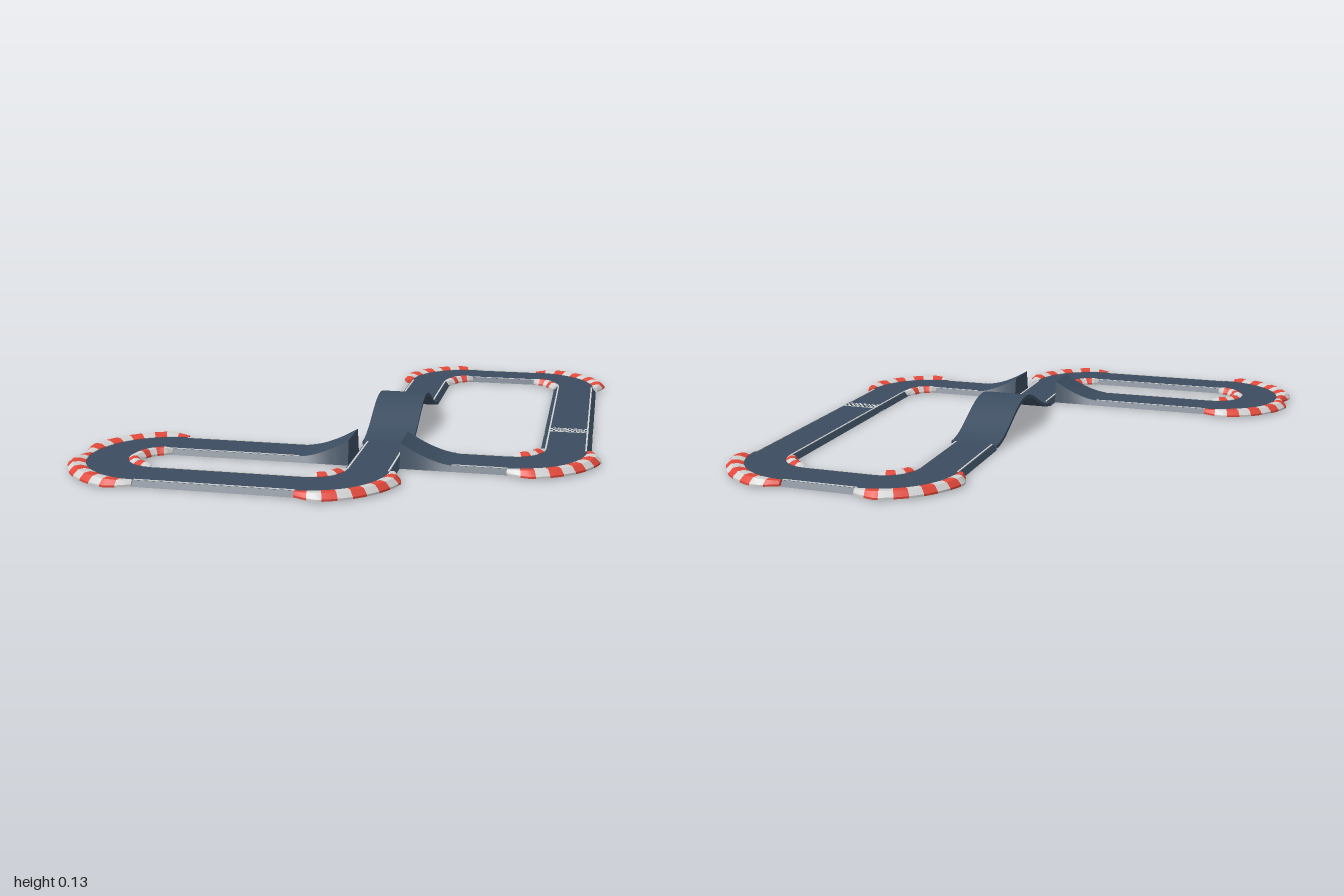
import * as THREE from 'three';
import { mergeGeometries, toCreasedNormals } from 'three/addons/utils/BufferGeometryUtils.js';

const R = 0.1875; // centre-line radius of every corner

function material(name, color) {
  const m = new THREE.MeshStandardMaterial({ color });
  m.name = name;
  return m;
}

// Point on a straight: position plus the direction to the driver's right
function straightPath(x0, z0, x1, z1) {
  const len = Math.hypot(x1 - x0, z1 - z0);
  const dx = (x1 - x0) / len, dz = (z1 - z0) / len;
  return t => ({ x: x0 + (x1 - x0) * t, z: z0 + (z1 - z0) * t, rx: -dz, rz: dx });
}

// Quarter turn; turn = 1 for a right-hander, -1 for a left-hander
function cornerPath(cx, cz, start, turn) {
  return t => {
    const a = start + turn * t * Math.PI / 2;
    const c = Math.cos(a), s = Math.sin(a);
    return { x: cx + R * c, z: cz + R * s, rx: -turn * c, rz: -turn * s };
  };
}

// Sweep a closed profile (points [offset, y], clockwise seen from behind)
function sweep(path, profile, steps, t0 = 0, t1 = 1) {
  const rings = [];
  for (let i = 0; i <= steps; i++) {
    const t = t0 + (t1 - t0) * i / steps, p = path(t);
    rings.push(profile(t).map(([o, y]) => [p.x + p.rx * o, y, p.z + p.rz * o]));
  }
  const pos = [], n = rings[0].length, last = rings[steps];
  const tri = (a, b, c) => pos.push(...a, ...b, ...c);
  for (let i = 0; i < steps; i++) {
    for (let j = 0; j < n; j++) {
      const k = (j + 1) % n;
      tri(rings[i][j], rings[i][k], rings[i + 1][k]);
      tri(rings[i][j], rings[i + 1][k], rings[i + 1][j]);
    }
  }
  for (let j = 1; j < n - 1; j++) {
    tri(rings[0][0], rings[0][j + 1], rings[0][j]);
    tri(last[0], last[j], last[j + 1]);
  }
  const g = new THREE.BufferGeometry();
  g.setAttribute('position', new THREE.Float32BufferAttribute(pos, 3));
  return toCreasedNormals(g, 0.5);
}

const slab = y => [[-0.092, 0.002], [-0.077, y], [0.077, y], [0.092, 0.002]];

export function createModel() {
  const model = new THREE.Group();
  const asphalt = material('asphalt', 0x3b4d60);
  const red = material('kerb red', 0xe2483a);
  const white = material('kerb white', 0xd2d2d2);
  const green = material('grass green', 0x86b04c);
  const add = (name, geo, mat) => {
    const mesh = new THREE.Mesh(geo, mat);
    mesh.name = name;
    model.add(mesh);
    return mesh;
  };

  // Flat straights with thin edge lines
  const straights = [
    [0.143, 0.6875, 0.143, 0.34], [0.143, -0.34, 0.143, -0.69],
    [0.33, -0.8775, 0.6075, -0.8775], [0.795, -0.69, 0.795, 0.3125],
    [0.6075, 0.5, 0.415, 0.5], [-0.13, 0.5, -0.60, 0.5],
    [-0.60, 0.875, -0.0445, 0.875],
  ];
  const lines = [];
  for (const s of straights) {
    const path = straightPath(...s);
    add('straightRoad', sweep(path, () => slab(0.021), 1), asphalt);
    for (const o of [-0.072, 0.072]) {
      lines.push(sweep(path, () => [
        [o - 0.003, 0.019], [o - 0.003, 0.023], [o + 0.003, 0.023], [o + 0.003, 0.019],
      ], 1));
    }
  }
  add('edgeLines', mergeGeometries(lines), white);

  // Humped bridge, a thin arched deck
  add('humpBridge', sweep(straightPath(0.143, 0.34, 0.143, -0.34), t => {
    const y = 0.021 + 0.107 * (0.5 - 0.5 * Math.cos(t * Math.PI * 2));
    return [[-0.092, y - 0.014], [-0.092, y], [0.092, y], [0.092, y - 0.014]];
  }, 32), asphalt);

  // Jump ramps facing each other across the road
  const ramp = s => slab(0.021 + 0.07 * Math.pow(s, 1.6));
  add('takeoffRamp', sweep(straightPath(0.415, 0.5, 0.235, 0.5), t => ramp(t), 12), asphalt);
  add('landingRamp', sweep(straightPath(0.051, 0.5, -0.13, 0.5), t => ramp(1 - t), 12), asphalt);

  // Corners with striped kerbs on both sides
  const corners = [
    [0.3305, -0.69, Math.PI, 1], [0.6075, -0.69, -Math.PI / 2, 1], [0.6075, 0.3125, 0, 1],
    [-0.60, 0.6875, -Math.PI / 2, -1], [-0.60, 0.6875, -Math.PI, -1],
    [-0.0445, 0.6875, Math.PI / 2, -1],
  ];
  const kerb = (side, inner, width) => t => {
    const f = Math.min(1, t / 0.16, (1 - t) / 0.16);
    const w = 0.022 + (width - 0.022) * f, top = 0.024 + 0.007 * f;
    const pts = [
      [inner, 0.006], [inner, 0.023], [inner + w * 0.35, top],
      [inner + w * 0.7, top - 0.001], [inner + w, 0.013], [inner + w, 0.006],
    ];
    return side > 0 ? pts : pts.map(([o, y]) => [-o, y]).reverse();
  };
  for (const c of corners) {
    const path = cornerPath(...c), turn = c[3];
    add('cornerRoad', sweep(path, () => slab(0.021), 20), asphalt);
    const parts = [[], []];
    // Outer kerb starts red, the shorter inner kerb starts white
    for (const [profile, stripes, first] of [
      [kerb(-turn, 0.077, 0.063), 10, 0], [kerb(turn, 0.07, 0.044), 5, 1],
    ]) {
      for (let i = 0; i < stripes; i++) {
        parts[(i + first) % 2].push(sweep(path, profile, 3, i / stripes, (i + 1) / stripes));
      }
    }
    add('kerbRedStripes', mergeGeometries(parts[0]), red);
    add('kerbWhiteStripes', mergeGeometries(parts[1]), white);
  }

  // Start line: a white band above and below the road, chequered on top
  const band = (width, y) => new THREE.BoxGeometry(width, 0.003, 0.052).translate(0.795, y, 0.038);
  add('startLine', mergeGeometries([band(0.14, 0.0215), band(0.184, 0.002)]), white);
  const cells = [], cols = 14, rows = 4, size = 0.14 / cols, depth = 0.052 / rows;
  for (let i = 0; i < cols; i++) {
    for (let j = 0; j < rows; j++) {
      if ((i + j) % 2) continue;
      const cell = new THREE.BoxGeometry(size * 0.8, 0.002, depth * 0.8);
      cell.translate(0.725 + size * (i + 0.5), 0.0228, 0.012 + depth * (j + 0.5));
      cells.push(cell);
    }
  }
  add('startLineDarkCells', mergeGeometries(cells), asphalt);

  // Grass plate under the hairpin
  add('grassPlate', new THREE.BoxGeometry(0.19, 0.004, 0.3), green).position.set(-0.785, 0.002, 0.6875);
  return model;
}
